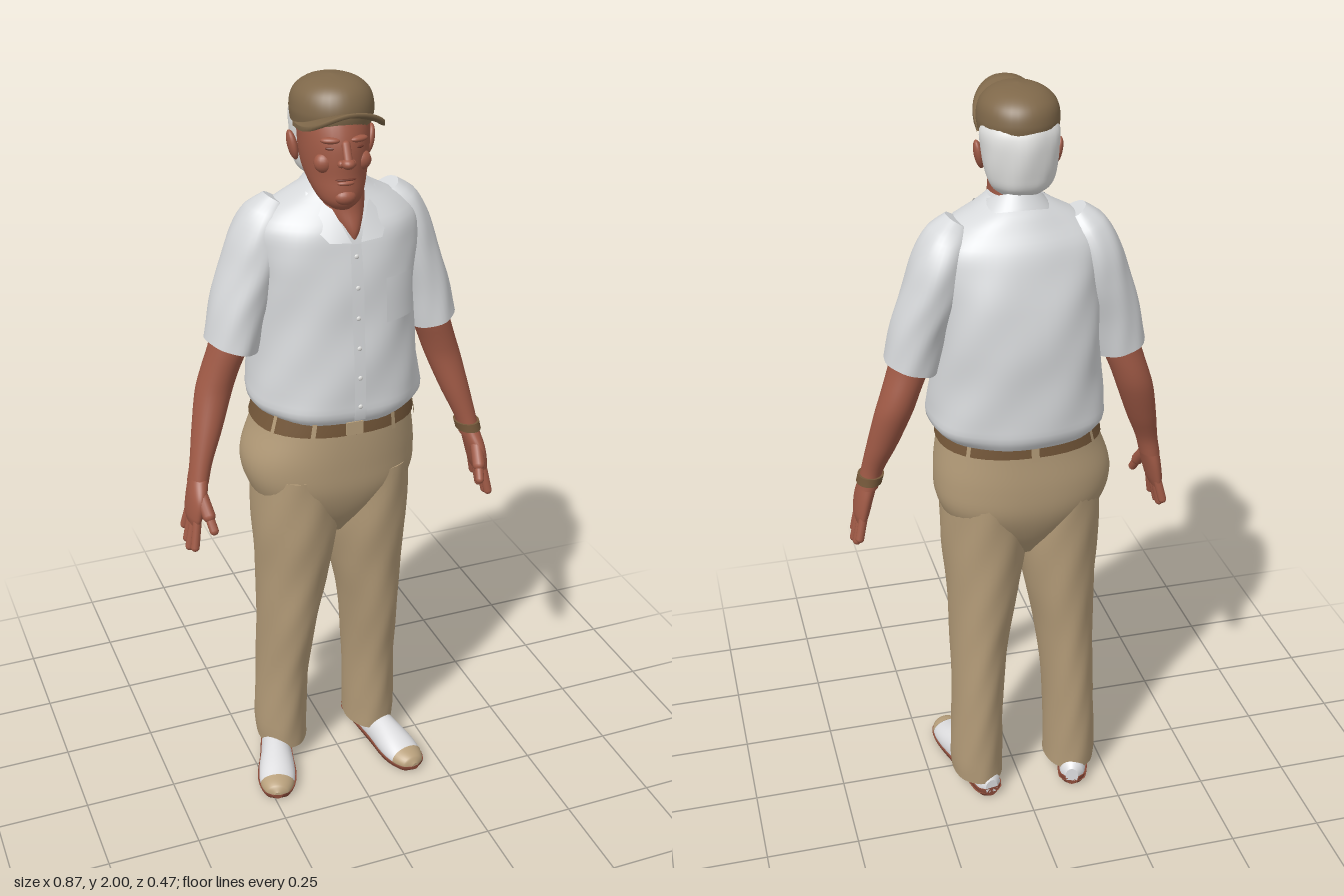
import * as THREE from 'three';

const mat = (name, color, side = THREE.FrontSide) => {
  const m = new THREE.MeshStandardMaterial({ color, side });
  m.name = name;
  return m;
};
const M = {
  shirt: mat('shirt white', 0xd6d8da, THREE.DoubleSide),
  trousers: mat('trouser khaki', 0xb39b78),
  cap: mat('cap brown', 0x7f684a, THREE.DoubleSide),
  skin: mat('skin', 0xa05a46),
  crease: mat('dark skin crease', 0x6e382b),
  hair: mat('white hair', 0xe2e2e0),
  belt: mat('belt brown', 0x75583a),
  shoe: mat('shoe white', 0xdedee0),
  toe: mat('toe cap tan', 0xb8a07c),
  sole: mat('sole red brown', 0x8c4c3a),
};

// Smooth interpolation of sections [y, cx, cz, rx, rz, exponent]
function sample(S, y) {
  let i = 0;
  while (i < S.length - 2 && y > S[i + 1][0]) i++;
  const a = S[i], b = S[i + 1], p = S[i - 1] || a, q = S[i + 2] || b;
  const h = b[0] - a[0], t = THREE.MathUtils.clamp((y - a[0]) / h, 0, 1);
  return [1, 2, 3, 4, 5].map((k) => {
    const v = (s) => s[k] ?? 2;
    const ma = (v(b) - v(p)) / (b[0] - p[0]) * h, mb = (v(q) - v(a)) / (q[0] - a[0]) * h;
    const t2 = t * t, t3 = t2 * t;
    return (2 * t3 - 3 * t2 + 1) * v(a) + (t3 - 2 * t2 + t) * ma + (3 * t2 - 2 * t3) * v(b) + (t3 - t2) * mb;
  });
}

// Skin stacked superellipses, or only an arc or height range of them
function loft(S, o = {}) {
  S = [...S].sort((a, b) => a[0] - b[0]);
  const { y0 = S[0][0], y1 = S[S.length - 1][0], arc = null, grow = 0, tiltX = 0, tiltZ = 0, fold = 0, n = 36, rows = 26 } = o;
  const pos = [], idx = [], cols = arc ? n + 1 : n;
  const ring = (y, k) => {
    const [cx, cz, rx, rz, e] = sample(S, y);
    for (let j = 0; j < cols; j++) {
      const th = arc ? arc[0] + (arc[1] - arc[0]) * j / n : j / n * Math.PI * 2;
      const c = Math.cos(th), s = Math.sin(th);
      const f = k * (1 + fold * Math.sin(5 * th + 17 * y) * Math.sin(2 * th + 11 * y));
      const ux = Math.sign(c) * Math.abs(c) ** (2 / e) * f, uz = Math.sign(s) * Math.abs(s) ** (2 / e) * f;
      pos.push(cx + ux * (rx + grow), y + tiltX * ux + tiltZ * uz, cz + uz * (rz + grow));
    }
  };
  if (!arc) { ring(y0, 0); ring(y0, 1); }
  for (let i = 0; i <= rows; i++) ring(y0 + (y1 - y0) * i / rows, 1);
  if (!arc) { ring(y1, 1); ring(y1, 0); }
  const R = pos.length / 3 / cols;
  for (let i = 0; i < R - 1; i++) for (let j = 0; j < n; j++) {
    const a = i * cols + j, b = i * cols + (j + 1) % cols, c = a + cols, d = b + cols;
    idx.push(a, c, b, b, c, d);
  }
  const g = new THREE.BufferGeometry();
  g.setAttribute('position', new THREE.Float32BufferAttribute(pos, 3));
  g.setIndex(idx);
  g.computeVertexNormals();
  return g;
}

function add(parent, name, geo, material) {
  const m = new THREE.Mesh(geo, material);
  m.name = name;
  parent.add(m);
  return m;
}
function ball(parent, name, material, p, r) {
  const m = add(parent, name, new THREE.SphereGeometry(1, 20, 14), material);
  m.position.set(...p);
  m.scale.set(...r);
  return m;
}
// Rounded rod between two points
function rod(parent, name, material, a, b, r) {
  const A = new THREE.Vector3(...a), B = new THREE.Vector3(...b), d = B.clone().sub(A);
  const m = add(parent, name, new THREE.CapsuleGeometry(r, d.length(), 6, 12), material);
  m.position.copy(A).add(B).multiplyScalar(0.5);
  m.quaternion.setFromUnitVectors(new THREE.Vector3(0, 1, 0), d.normalize());
  return m;
}

const SHIRT = [
  [1.135, 0, -0.035, 0.2, 0.18, 2.3], [1.16, 0, -0.035, 0.227, 0.194, 2.3], [1.2, 0, -0.036, 0.226, 0.195, 2.3],
  [1.3, 0, -0.037, 0.214, 0.192, 2.3], [1.4, 0, -0.04, 0.206, 0.185, 2.4], [1.5, 0, -0.036, 0.206, 0.174, 2.4],
  [1.58, 0, -0.03, 0.214, 0.157, 2.3], [1.64, 0, -0.026, 0.207, 0.139, 2.2], [1.68, 0, -0.025, 0.17, 0.113],
  [1.715, 0, -0.025, 0.105, 0.09], [1.74, 0, -0.015, 0.065, 0.065]];
const PELVIS = [
  [0.77, -0.015, -0.03, 0.05, 0.08], [0.84, -0.015, -0.03, 0.17, 0.13], [0.92, -0.015, -0.032, 0.222, 0.163, 2.3],
  [1.0, -0.018, -0.032, 0.234, 0.172, 2.3], [1.1, -0.008, -0.029, 0.212, 0.172, 2.3], [1.17, -0.005, -0.03, 0.195, 0.17, 2.3]];
const LEG = [
  [0.05, 0.15, -0.068, 0.07, 0.095], [0.1, 0.152, -0.067, 0.072, 0.098], [0.3, 0.146, -0.06, 0.07, 0.11],
  [0.5, 0.135, -0.042, 0.08, 0.127], [0.65, 0.122, -0.035, 0.097, 0.137], [0.8, 0.115, -0.028, 0.114, 0.148], [0.97, 0.118, -0.03, 0.112, 0.155]];
const SLEEVE = [
  [1.325, 0.272, -0.04, 0.066, 0.088], [1.42, 0.25, -0.045, 0.068, 0.09], [1.52, 0.215, -0.05, 0.07, 0.094],
  [1.6, 0.19, -0.05, 0.067, 0.09], [1.66, 0.165, -0.045, 0.055, 0.07], [1.69, 0.145, -0.04, 0.03, 0.04]];
const ARM = [
  [0.97, 0.387, 0.002, 0.027, 0.038], [1.02, 0.375, -0.004, 0.029, 0.035], [1.1, 0.35, -0.025, 0.039, 0.044],
  [1.2, 0.32, -0.048, 0.048, 0.051], [1.25, 0.303, -0.05, 0.049, 0.054], [1.33, 0.275, -0.045, 0.052, 0.055], [1.42, 0.26, -0.05, 0.05, 0.05]];
const PALM = [
  [0.865, 0.409, 0.015, 0.013, 0.046], [0.89, 0.406, 0.017, 0.02, 0.052], [0.94, 0.396, 0.015, 0.024, 0.052], [0.985, 0.385, 0.003, 0.025, 0.036]];
const SHOE = [
  [-0.162, 0, -0.035, 0.018, 0.025], [-0.145, 0, -0.038, 0.034, 0.04], [-0.05, 0, -0.035, 0.04, 0.055], [0.03, 0, -0.03, 0.044, 0.054],
  [0.1, 0, -0.025, 0.051, 0.045], [0.15, 0, -0.022, 0.048, 0.033], [0.19, 0, -0.02, 0.031, 0.022], [0.202, 0, -0.018, 0.008, 0.008]];
const mirror = (S, s, shift = 0) => S.map(([y, x, ...r]) => [y, s * x + shift, ...r]);

// Horizontal loft along z, with its height clamped
function shoePart(o, lo, hi) {
  const g = loft(SHOE, o).rotateX(Math.PI / 2), p = g.attributes.position;
  for (let i = 0; i < p.count; i++) p.setY(i, THREE.MathUtils.clamp(p.getY(i), lo, hi));
  g.computeVertexNormals();
  return g;
}

function capBrim() {
  const pos = [], idx = [], n = 28, rows = 6, w = 2 * rows + 2;
  for (let i = 0; i <= n; i++) {
    const a = (i / n - 0.5) * Math.PI, s = Math.sin(a), c = Math.max(0, Math.cos(a));
    for (let k = 0; k < w; k++) {
      const top = k <= rows, v = top ? k / rows : (w - 1 - k) / rows;
      const x = THREE.MathUtils.lerp(0.094 * s, 0.098 * Math.sign(s) * Math.abs(s) ** 0.75, v);
      const z = THREE.MathUtils.lerp(0.01 + 0.11 * c, 0.02 + 0.215 * c ** 0.65, v);
      pos.push(x, 1.925 + 0.035 * v * c - 0.037 * (x / 0.098) ** 2 + (top ? 0.005 : -0.005), z);
    }
  }
  for (let i = 0; i < n; i++) for (let k = 0; k < w; k++) {
    const a = i * w + k, b = i * w + (k + 1) % w;
    idx.push(a, b, a + w, b, b + w, a + w);
  }
  const g = new THREE.BufferGeometry();
  g.setAttribute('position', new THREE.Float32BufferAttribute(pos, 3));
  g.setIndex(idx);
  g.computeVertexNormals();
  return g;
}

function buildHead(root) {
  const head = new THREE.Group();
  head.name = 'head';
  head.position.x = -0.017;
  head.rotation.y = -0.1;
  root.add(head);
  add(head, 'face', loft([
    [1.7, 0, 0.09, 0.025, 0.035], [1.715, 0, 0.085, 0.046, 0.055], [1.74, 0, 0.065, 0.062, 0.08], [1.78, 0, 0.035, 0.076, 0.107],
    [1.82, 0, 0.025, 0.083, 0.118], [1.86, 0, 0.02, 0.086, 0.12], [1.9, 0, 0.01, 0.088, 0.118], [1.94, 0, 0.01, 0.08, 0.1]]), M.skin);
  add(head, 'hair', loft([
    [1.745, 0, -0.03, 0.05, 0.045], [1.765, 0, -0.035, 0.073, 0.068], [1.8, 0, -0.036, 0.087, 0.078],
    [1.86, 0, -0.036, 0.095, 0.084], [1.9, 0, -0.033, 0.097, 0.082], [1.93, 0, -0.03, 0.085, 0.07]], { fold: 0.03 }), M.hair);
  add(head, 'capCrown', loft([
    [1.893, 0, 0.006, 0.098, 0.117], [1.925, 0, 0.007, 0.101, 0.121], [1.96, 0, 0.008, 0.093, 0.11],
    [1.983, 0, 0.012, 0.07, 0.085], [1.995, 0, 0.015, 0.04, 0.05], [2.0, 0, 0.015, 0.004, 0.005]]), M.cap);
  add(head, 'capBrim', capBrim(), M.cap);
  ball(head, 'capButton', M.cap, [0, 1.995, 0.015], [0.008, 0.005, 0.008]);
  // Facial features
  rod(head, 'noseBridge', M.skin, [0, 1.862, 0.138], [0, 1.828, 0.158], 0.011);
  ball(head, 'noseTip', M.skin, [0, 1.823, 0.158], [0.017, 0.013, 0.018]);
  ball(head, 'chin', M.skin, [0, 1.735, 0.132], [0.027, 0.02, 0.02]);
  ball(head, 'mouth', M.crease, [0, 1.779, 0.138], [0.026, 0.003, 0.008]);
  ball(head, 'lowerLip', M.skin, [0, 1.77, 0.136], [0.022, 0.007, 0.011]);
  for (const s of [-1, 1]) {
    ball(head, 'nostril', M.skin, [s * 0.014, 1.82, 0.147], [0.009, 0.009, 0.01]);
    ball(head, 'eye', M.crease, [s * 0.034, 1.853, 0.127], [0.014, 0.004, 0.006]).rotation.y = s * 0.35;
    ball(head, 'brow', M.skin, [s * 0.035, 1.872, 0.126], [0.024, 0.008, 0.012]).rotation.y = s * 0.35;
    ball(head, 'cheek', M.skin, [s * 0.045, 1.815, 0.108], [0.025, 0.025, 0.022]);
    ball(head, 'ear', M.skin, [s * 0.096, 1.832, 0.004], [0.012, 0.037, 0.022]).rotation.set(-0.15, 0, -s * 0.2);
  }
}

export function createModel() {
  const root = new THREE.Group();
  root.name = 'manInCap';
  const front = Math.PI / 2;

  // Shirt with placket, buttons and pocket
  add(root, 'shirtBody', loft(SHIRT, { fold: 0.018, n: 56, rows: 44 }), M.shirt);
  add(root, 'placket', loft(SHIRT, { y0: 1.15, y1: 1.61, arc: [front - 0.045, front + 0.045], grow: 0.004, n: 6 }), M.shirt);
  add(root, 'pocket', loft(SHIRT, { y0: 1.4, y1: 1.515, arc: [0.78, 1.27], grow: 0.006, n: 10, rows: 8 }), M.shirt);
  for (let i = 0; i < 6; i++) {
    const y = 1.19 + i * 0.078, s = sample(SHIRT, y);
    ball(root, 'button', M.hair, [0, y, s[1] + s[3] + 0.005], [0.006, 0.006, 0.003]);
  }
  // Neck and collar
  add(root, 'neck', loft([[1.605, 0, 0.06, 0.008, 0.055], [1.64, 0, 0.05, 0.032, 0.071], [1.69, -0.005, 0.025, 0.058, 0.083],
    [1.78, -0.012, 0.015, 0.065, 0.08]]), M.skin);
  add(root, 'collarBand', loft([[1.685, 0, -0.008, 0.108, 0.105], [1.722, 0, -0.004, 0.075, 0.084]],
    { tiltZ: -0.04, arc: [front + 0.55, front + Math.PI * 2 - 0.55], rows: 6 }), M.shirt);
  for (const s of [-1, 1]) {
    const wing = new THREE.BufferGeometry();
    wing.setAttribute('position', new THREE.Float32BufferAttribute(
      [[0.012, 1.615, 0.13], [0.045, 1.69, 0.085], [0.068, 1.62, 0.128], [0.09, 1.72, 0.02], [0.108, 1.665, 0.07]].flatMap(([x, y, z]) => [s * x, y, z]), 3));
    wing.setIndex(s > 0 ? [0, 2, 1, 1, 2, 4, 1, 4, 3] : [0, 1, 2, 1, 4, 2, 1, 3, 4]);
    wing.computeVertexNormals();
    add(root, 'collarWing', wing, M.shirt);
  }

  // Trousers hips and belt
  add(root, 'trouserHips', loft(PELVIS, { n: 48 }), M.trousers);
  add(root, 'belt', loft(PELVIS, { y0: 1.105, y1: 1.148, grow: 0.006, rows: 4 }), M.belt);
  const buckle = add(root, 'buckle', new THREE.BoxGeometry(0.045, 0.036, 0.008), M.toe);
  buckle.position.set(-0.01, 1.126, 0.15);
  for (const a of [0.5, 1.1, 2.04, 2.64, 3.9, 4.71, 5.5])
    add(root, 'beltLoop', loft(PELVIS, { y0: 1.095, y1: 1.155, arc: [a - 0.03, a + 0.03], grow: 0.01, n: 2, rows: 3 }), M.trousers);

  for (const s of [-1, 1]) {
    const side = s > 0 ? 'left' : 'right';
    // Arm
    const arm = new THREE.Group();
    arm.name = side + 'Arm';
    root.add(arm);
    add(arm, 'sleeve', loft(mirror(SLEEVE, s), { tiltX: s * 0.018, fold: 0.03 }), M.shirt);
    add(arm, 'forearm', loft(mirror(ARM, s)), M.skin);
    add(arm, 'palm', loft(mirror(PALM, s)), M.skin);
    for (let i = 0; i < 4; i++)
      rod(arm, 'finger', M.skin, [s * 0.407, 0.885, -0.022 + i * 0.025], [s * (0.42 + 0.003 * (i % 3)), [0.83, 0.807, 0.8, 0.812][i], -0.03 + i * 0.032], 0.0115);
    rod(arm, 'thumb', M.skin, [s * 0.39, 0.945, 0.045], [s * 0.383, 0.905, 0.078], 0.017);
    rod(arm, 'thumbTip', M.skin, [s * 0.383, 0.905, 0.078], [s * 0.377, 0.872, 0.1], 0.012);
    if (s > 0) add(arm, 'watchBand', loft(ARM, { y0: 0.985, y1: 1.008, grow: 0.006, rows: 3 }), M.belt);

    // Leg
    add(root, side + 'TrouserLeg', loft(mirror(LEG, s, s > 0 ? -0.03 : 0), { fold: 0.018, rows: 40 }), M.trousers);

    // Shoe
    const shoe = new THREE.Group();
    shoe.name = side + 'Shoe';
    shoe.position.set(s > 0 ? 0.13 : -0.183, 0, s > 0 ? -0.005 : -0.02);
    shoe.rotation.y = s > 0 ? 0.18 : -0.31;
    root.add(shoe);
    add(shoe, 'upper', shoePart({ y1: 0.158 }, 0.018, 1), M.shoe);
    add(shoe, 'toeCap', shoePart({ y0: 0.155, grow: 0.001 }, 0.018, 1), M.toe);
    add(shoe, 'sole', shoePart({ grow: 0.004 }, 0, 0.019), M.sole);
    add(shoe, 'heel', shoePart({ y1: -0.05, grow: 0.003 }, 0, 0.034), M.sole);
  }

  buildHead(root);
  return root;
}
